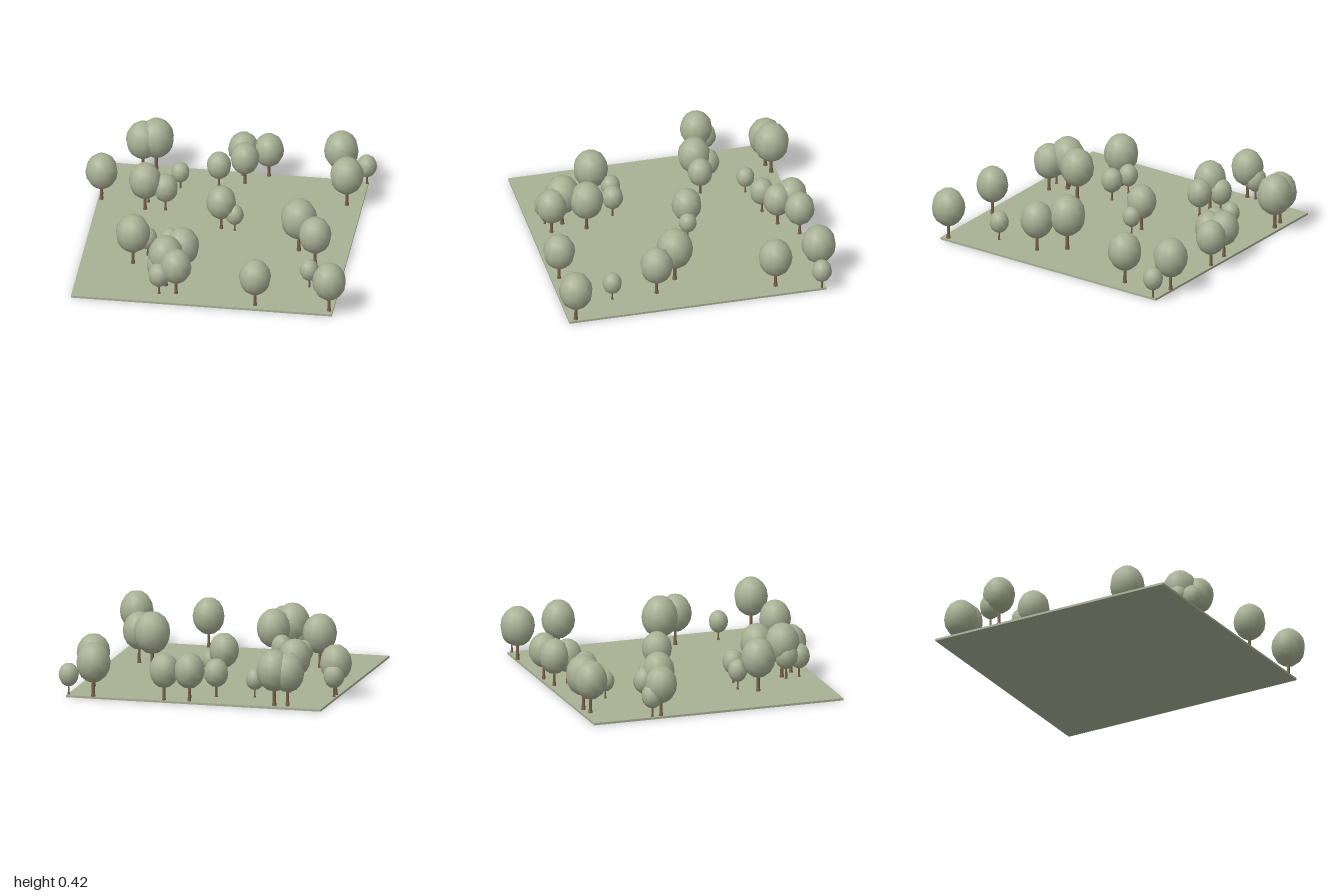
import * as THREE from 'three';

// Each tree: x, z, crown radius; everything else scales with the radius
const TREES = [
  [-0.66, -0.83, 0.118], [-0.57, -0.85, 0.124], [0.035, -0.85, 0.106], [0.21, -0.865, 0.104],
  [0.06, -0.745, 0.1], [-0.11, -0.675, 0.085], [-0.37, -0.62, 0.063], [-0.885, -0.395, 0.112],
  [-0.89, -0.46, 0.075], [-0.56, -0.4, 0.08], [-0.57, -0.305, 0.113], [-0.43, -0.315, 0.087],
  [-0.015, -0.12, 0.104], [0.08, -0.105, 0.063], [0.555, 0.1, 0.127], [0.69, 0.26, 0.114],
  [0.695, 0.575, 0.067], [-0.465, 0.31, 0.068], [-0.305, 0.335, 0.075], [-0.55, 0.43, 0.12],
  [-0.19, 0.545, 0.117], [-0.285, 0.695, 0.122], [-0.2, 0.79, 0.108], [-0.33, 0.71, 0.085],
  [-0.315, 0.81, 0.075], [0.36, 0.87, 0.111], [0.875, 0.875, 0.117], [0.71, -0.88, 0.12],
  [0.89, -0.86, 0.07], [0.795, -0.555, 0.117],
];
const GROUND_TOP = 0.015;

export function createModel() {
  const group = new THREE.Group();
  const grass = new THREE.MeshStandardMaterial({ name: 'grass', color: 0xa8b094 });
  const foliage = new THREE.MeshStandardMaterial({ name: 'foliage', color: 0xa8b094 });
  const bark = new THREE.MeshStandardMaterial({ name: 'bark', color: 0x7a6248 });

  // Flat ground slab
  const ground = new THREE.Mesh(new THREE.BoxGeometry(1.81, GROUND_TOP, 1.815), grass);
  ground.name = 'ground';
  ground.position.set(-0.005, GROUND_TOP / 2, 0.018);
  group.add(ground);

  // Unit-radius tree: slim trunk with a flared foot, egg-shaped crown
  const trunkGeo = new THREE.LatheGeometry([
    [0.135, 0], [0.12, 0.1], [0.095, 0.25], [0.085, 1.3],
  ].map(([r, y]) => new THREE.Vector2(r, y)), 7);
  const crownGeo = new THREE.SphereGeometry(1, 11, 8);
  crownGeo.scale(1, 1.17, 1);

  TREES.forEach(([x, z, r], i) => {
    const tree = new THREE.Group();
    tree.name = `tree${i + 1}`;
    const trunk = new THREE.Mesh(trunkGeo, bark);
    trunk.name = 'trunk';
    const crown = new THREE.Mesh(crownGeo, foliage);
    crown.name = 'crown';
    crown.position.y = 2;
    tree.add(trunk, crown);
    tree.position.set(x, GROUND_TOP, z);
    tree.rotation.y = i * 2.4;
    tree.scale.setScalar(r);
    group.add(tree);
  });
  return group;
}
